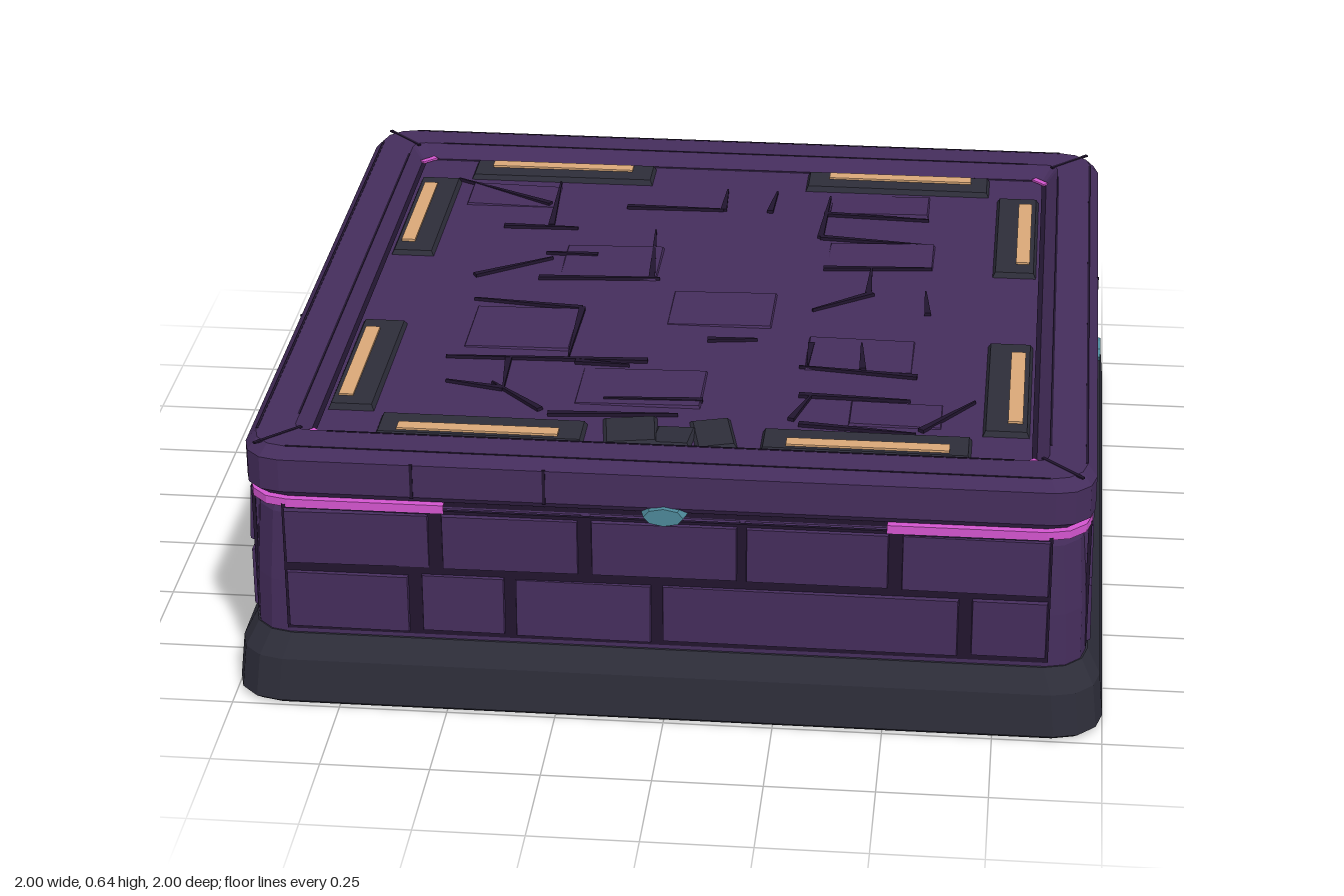
import * as THREE from 'three';

const mat = (name, color) => {
  const m = new THREE.MeshStandardMaterial({ color });
  m.name = name;
  return m;
};

// faceted normals
function faceted(g) {
  const out = g.index ? g.toNonIndexed() : g;
  out.computeVertexNormals();
  return out;
}

// square outline with rounded corners: half size h, corner radius c
function outline(h, c, steps = 3) {
  const pts = [];
  for (let q = 0; q < 4; q++) {
    const mid = Math.PI / 4 + q * Math.PI / 2;
    const cx = Math.sign(Math.cos(mid)) * (h - c), cz = Math.sign(Math.sin(mid)) * (h - c);
    for (let i = 0; i <= steps; i++) {
      const a = (q + i / steps) * Math.PI / 2;
      pts.push([cx + c * Math.cos(a), cz + c * Math.sin(a)]);
    }
  }
  return pts;
}

// skin a list of rings; each ring is { y, pts }
function skin(rings, closed = true) {
  const pos = [], n = rings[0].pts.length;
  const at = (r, j) => [r.pts[j % n][0], r.y, r.pts[j % n][1]];
  for (let i = 0; i < rings.length - 1; i++) {
    for (let j = 0; j < (closed ? n : n - 1); j++) {
      const a = at(rings[i], j), b = at(rings[i], j + 1);
      const c = at(rings[i + 1], j), d = at(rings[i + 1], j + 1);
      pos.push(...a, ...c, ...b, ...b, ...c, ...d);
    }
  }
  const g = new THREE.BufferGeometry();
  g.setAttribute('position', new THREE.Float32BufferAttribute(pos, 3));
  return faceted(g);
}

// profile rows are [half size, y, corner radius]
const loft = (rows) => skin(rows.map(([h, y, c]) => ({ y, pts: outline(h, c) })));

// stone block whose front is inset and slightly tilted
function stoneBlock(w, h, d, inset, tiltX = 0, tiltY = 0) {
  const g = new THREE.BoxGeometry(w, h, d), p = g.attributes.position;
  for (let i = 0; i < p.count; i++) {
    if (p.getZ(i) <= 0) continue;
    const sx = Math.sign(p.getX(i)), sy = Math.sign(p.getY(i));
    p.setXYZ(i, p.getX(i) - sx * inset, p.getY(i) - sy * inset, p.getZ(i) + sx * tiltX + sy * tiltY);
  }
  return faceted(g);
}

// tapering crack lying along x
function crackWedge(len) {
  const g = new THREE.BoxGeometry(len, 0.008, 0.016), p = g.attributes.position;
  for (let i = 0; i < p.count; i++) if (p.getX(i) > 0) p.setZ(i, p.getZ(i) * 0.25);
  return faceted(g);
}

export function createModel() {
  const purple = mat('purple stone', 0x452d5c);
  const dark = mat('dark stone', 0x2d2d39);
  const groove = mat('groove', 0x21152e);
  const tan = mat('tan inlay', 0xdaa878);
  const pink = mat('pink glow', 0xd355cf);
  const teal = mat('teal gem', 0x4c8798);

  let seed = 7;
  const rnd = () => (seed = (seed * 16807) % 2147483647) / 2147483647 - 0.5;

  const model = new THREE.Group();
  const add = (parent, name, geo, m, x = 0, y = 0, z = 0) => {
    const mesh = new THREE.Mesh(geo, m);
    mesh.name = name;
    mesh.position.set(x, y, z);
    parent.add(mesh);
    return mesh;
  };

  // main stacked masses
  add(model, 'plinth', loft([
    [0, 0, 0], [0.985, 0, 0.1], [1, 0.012, 0.11], [0.99, 0.115, 0.11], [0.96, 0.17, 0.1], [0.9, 0.172, 0.08],
  ]), dark);
  add(model, 'wall', loft([
    [0.955, 0.16, 0.09], [0.955, 0.3, 0.1], [0.945, 0.47, 0.1], [0.935, 0.5, 0.1],
  ]), purple);
  add(model, 'neck', loft([[0.935, 0.48, 0.1], [0.935, 0.53, 0.1]]), groove);
  add(model, 'capRim', loft([
    [0.9, 0.515, 0.08], [0.945, 0.517, 0.09], [0.962, 0.535, 0.09], [0.962, 0.615, 0.09],
    [0.94, 0.64, 0.08], [0.855, 0.64, 0.03], [0.825, 0.605, 0.02],
  ]), purple);
  add(model, 'floor', loft([[0.83, 0.605, 0.01], [0, 0.605, 0]]), purple);
  add(model, 'floorGroove', loft([[0.829, 0.607, 0.02], [0.815, 0.607, 0.02]]), groove);

  // brick courses: [start, end] along each side
  const frontRows = [
    { y: 0.423, h: 0.148, b: [[-0.87, -0.53], [-0.51, -0.19], [-0.17, 0.17], [0.18, 0.51], [0.53, 0.87]] },
    { y: 0.262, h: 0.155, b: [[-0.87, -0.58], [-0.56, -0.36], [-0.345, -0.025], [-0.01, 0.67], [0.69, 0.87]] },
  ];
  const sideRows = [
    { y: 0.423, h: 0.148, b: [[-0.87, -0.53], [-0.51, -0.21], [-0.195, 0], [0.015, 0.18], [0.195, 0.51], [0.53, 0.87]] },
    { y: 0.262, h: 0.155, b: [[-0.87, -0.75], [-0.735, -0.33], [-0.315, 0.015], [0.03, 0.32], [0.335, 0.66], [0.675, 0.87]] },
  ];

  const corner = (h) => outline(h, 0.1).slice(0, 4);
  for (let s = 0; s < 4; s++) {
    const side = new THREE.Group();
    side.name = ['front', 'left', 'back', 'right'][s] + 'Side';
    side.rotation.y = s * Math.PI / 2;
    model.add(side);

    // mortar and bricks
    add(side, 'mortar', new THREE.BoxGeometry(1.74, 0.32, 0.008), groove, 0, 0.34, 0.952);
    for (const row of s % 2 ? sideRows : frontRows) {
      for (const [a, b] of row.b) {
        add(side, 'brick', stoneBlock(b - a, row.h, 0.03, 0.007, rnd() * 0.006, rnd() * 0.006),
          purple, (a + b) / 2, row.y + rnd() * 0.006, 0.948);
      }
    }

    // rim joints
    for (const x of s % 2 ? [0.2] : [-0.57, -0.27]) {
      add(side, 'rimJoint', new THREE.BoxGeometry(0.007, 0.085, 0.006), groove, x, 0.575, 0.961);
    }
    const mitre = add(side, 'rimMitre', new THREE.BoxGeometry(0.13, 0.004, 0.008), groove, 0.885, 0.6395, 0.885);
    mitre.rotation.y = -Math.PI / 4;
    for (const h of [0.938, 0.857]) {
      add(side, 'rimEdgeLine', new THREE.BoxGeometry(h * 2 - 0.16, 0.003, 0.005), groove, 0, 0.6395, h);
    }

    // glowing strip wrapped round the corner
    const band = [0.494, 0.514].map((y) => ({ y, pts: [[0.957, 0.5], ...corner(0.957), [0.5, 0.957]] }));
    add(side, 'glowStrip', skin(band, false), pink);
    const ledge = [0.957, 0.93].map((h) => ({ y: 0.514, pts: [[h, 0.5], ...corner(h), [0.5, h]] }));
    add(side, 'glowStripTop', skin(ledge, false), pink);
    const spot = add(side, 'cornerGlow', new THREE.BoxGeometry(0.045, 0.005, 0.016), pink, 0.81, 0.61, 0.81);
    spot.rotation.y = Math.PI / 4;

    // gem under the rim
    const gem = add(side, 'gem', faceted(new THREE.CylinderGeometry(0.045, 0.056, 0.04, 8)), teal, 0, 0.516, 0.952);
    gem.rotation.x = Math.PI / 2;
    gem.scale.z = 0.48;

    // framed slots on the floor edge
    for (const m of [-1, 1]) {
      const frame = add(side, 'slotFrame', stoneBlock(0.48, 0.11, 0.016, 0.008, rnd() * 0.003), dark, m * 0.44, 0.61, 0.755);
      frame.rotation.x = -Math.PI / 2;
      add(side, 'slotInlay', new THREE.BoxGeometry(0.37, 0.008, 0.034), tan, m * 0.445, 0.619, 0.775);
    }
  }

  // worn dark paving at the front edge
  for (const [x, z, w, d, r] of [[-0.1, 0.73, 0.13, 0.14, 0.12], [0.0, 0.75, 0.1, 0.1, -0.1], [0.09, 0.73, 0.1, 0.15, 0.2]]) {
    const p = add(model, 'wornPaving', stoneBlock(w, d, 0.012, 0.01, 0.002), dark, x, 0.608, z);
    p.rotation.set(-Math.PI / 2, 0, r);
  }

  // slightly tilted floor slabs: x, z, width, depth
  const slabs = [
    [-0.55, -0.6, 0.24, 0.14], [0.4, -0.62, 0.26, 0.14], [-0.25, -0.2, 0.25, 0.2], [0.42, -0.3, 0.27, 0.15],
    [-0.42, 0.2, 0.26, 0.24], [0.4, 0.28, 0.26, 0.18], [-0.1, 0.5, 0.3, 0.2], [0.5, 0.59, 0.22, 0.13], [0.05, 0.05, 0.26, 0.2],
  ];
  for (const [x, z, w, d] of slabs) {
    const slab = add(model, 'floorSlab', stoneBlock(w, d, 0.01, 0.006, rnd() * 0.006, rnd() * 0.006), purple, x, 0.604, z);
    slab.rotation.x = -Math.PI / 2;
  }

  // floor cracks in hundredths: x1, z1, x2, z2 (wide end first)
  const cracks = [
    [-45, -55, -71, -69], [-43, -41, -44, -69], [-55, -40, -36, -40], [-29, -24, -42, -24], [-25, -55, 0, -55],
    [0, -55, 0, -68], [12, -55, 13, -68], [26, -55, 53, -53], [26, -40, 27, -66], [26, -40, 54, -37],
    [-42, -9, -12, -11], [-58, -9, -40, -21], [-14, -11, -16, -40], [28, -21, 55, -23], [40, -7, 40, -22],
    [41, -7, 27, 4], [55, 4, 54, -9], [-29, 8, -56, 5], [-29, 8, -29, 35], [3, 23, 15, 22], [-10, 36, -58, 38],
    [-43, 38, -42, 54], [-42, 54, -56, 51], [-27, 38, -14, 39], [28, 23, 28, 35], [54, 39, 26, 36],
    [41, 36, 40, 22], [27, 51, 53, 52], [56, 67, 68, 51], [26, 64, 30, 51], [-32, 64, -45, 51], [5, 56, -18, 57],
    [-30, 66, 0, 64], [28, 66, 55, 69],
  ];
  for (const [x1, z1, x2, z2] of cracks) {
    const dx = (x2 - x1) / 100, dz = (z2 - z1) / 100;
    const c = add(model, 'floorCrack', crackWedge(Math.hypot(dx, dz)), groove, (x1 + x2) / 200, 0.609, (z1 + z2) / 200);
    c.rotation.y = Math.atan2(-dz, dx);
  }

  return model;
}
